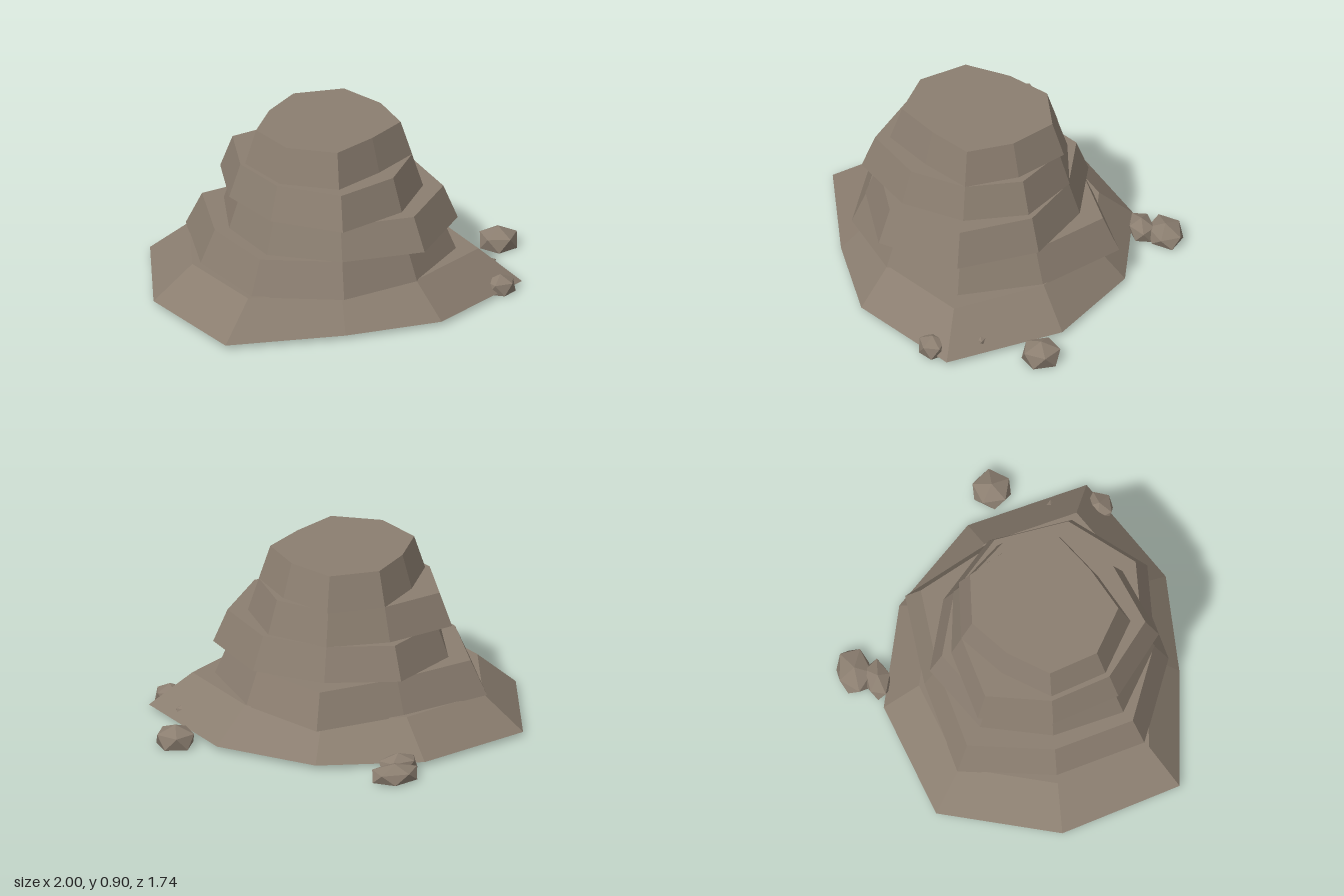
import * as THREE from 'three';

const SIDES = 9;
const CENTER = { x: -0.07, z: 0.16 };

// Tapered stone slab: uneven nine-sided outline, shrunk towards the top
function slabGeometry(radii, taper, y0, y1) {
  const pos = [], index = [];
  for (const [y, s] of [[y0, 1], [y1, taper]]) {
    radii.forEach((r, i) => {
      const a = THREE.MathUtils.degToRad(23.2 + 40 * i);
      pos.push(CENTER.x + Math.cos(a) * r * s, y, CENTER.z + Math.sin(a) * r * s);
    });
  }
  pos.push(CENTER.x, y0, CENTER.z, CENTER.x, y1, CENTER.z);
  const low = 2 * SIDES, high = low + 1;
  for (let i = 0; i < SIDES; i++) {
    const j = (i + 1) % SIDES, ti = i + SIDES, tj = j + SIDES;
    index.push(i, ti, j, j, ti, tj, low, i, j, high, tj, ti);
  }
  const g = new THREE.BufferGeometry();
  g.setAttribute('position', new THREE.Float32BufferAttribute(pos, 3));
  g.setIndex(index);
  const flat = g.toNonIndexed();
  flat.computeVertexNormals();
  return flat;
}

// Boulder: point-up icosahedron with its underside cut flat
function boulderGeometry(rx, height, rz, turn) {
  const g = new THREE.IcosahedronGeometry(1, 0);
  g.rotateX(-Math.atan2((1 + Math.sqrt(5)) / 2, 1));
  g.rotateY(turn);
  const p = g.attributes.position, cut = -0.447;
  for (let i = 0; i < p.count; i++) {
    const y = Math.max(p.getY(i), cut);
    p.setXYZ(i, p.getX(i) * rx / 0.9, (y - cut) / (1 - cut) * height, p.getZ(i) * rz / 0.9);
  }
  g.computeVertexNormals();
  return g;
}

export function createModel() {
  const group = new THREE.Group();
  const stone = new THREE.MeshStandardMaterial({ color: 0x8b7e70 });
  stone.name = 'stone';

  const add = (name, geometry, x = 0, y = 0, z = 0) => {
    const mesh = new THREE.Mesh(geometry, stone);
    mesh.name = name;
    mesh.position.set(x, y, z);
    group.add(mesh);
  };

  // Stacked rock layers, bottom to top
  const layers = [
    ['baseSlope', 0.02, 0.2, 0.777, [0.995, 0.79, 0.705, 0.97, 0.93, 0.977, 0.84, 0.79, 0.838]],
    ['lowerLayer', 0.195, 0.375, 0.885, [0.66, 0.62, 0.65, 0.725, 0.68, 0.78, 0.625, 0.758, 0.645]],
    ['middleLayer', 0.375, 0.55, 0.89, [0.667, 0.673, 0.58, 0.575, 0.525, 0.57, 0.595, 0.545, 0.6]],
    ['upperLayer', 0.55, 0.725, 0.885, [0.49, 0.515, 0.6, 0.54, 0.525, 0.59, 0.48, 0.49, 0.5]],
    ['summitLayer', 0.725, 0.905, 0.865, [0.434, 0.36, 0.455, 0.45, 0.44, 0.37, 0.427, 0.459, 0.4]],
  ];
  for (const [name, y0, y1, taper, radii] of layers) add(name, slabGeometry(radii, taper, y0, y1));

  // Loose boulders around the foot: x, y, z, rx, height, rz, turn
  const boulders = [
    [0.9, 0, 0.07, 0.1, 0.11, 0.1, 0.3],
    [0.045, 0.008, -0.79, 0.125, 0.083, 0.09, 1.0],
    [-0.02, 0.008, -0.68, 0.105, 0.09, 0.065, 0.1],
    [0.71, 0.005, 0.595, 0.08, 0.095, 0.07, 0.6],
    [0.67, 0.003, 0.345, 0.11, 0.105, 0.065, 0.2],
  ];
  for (const [x, y, z, rx, h, rz, turn] of boulders) add('boulder', boulderGeometry(rx, h, rz, turn), x, y, z);

  return group;
}
